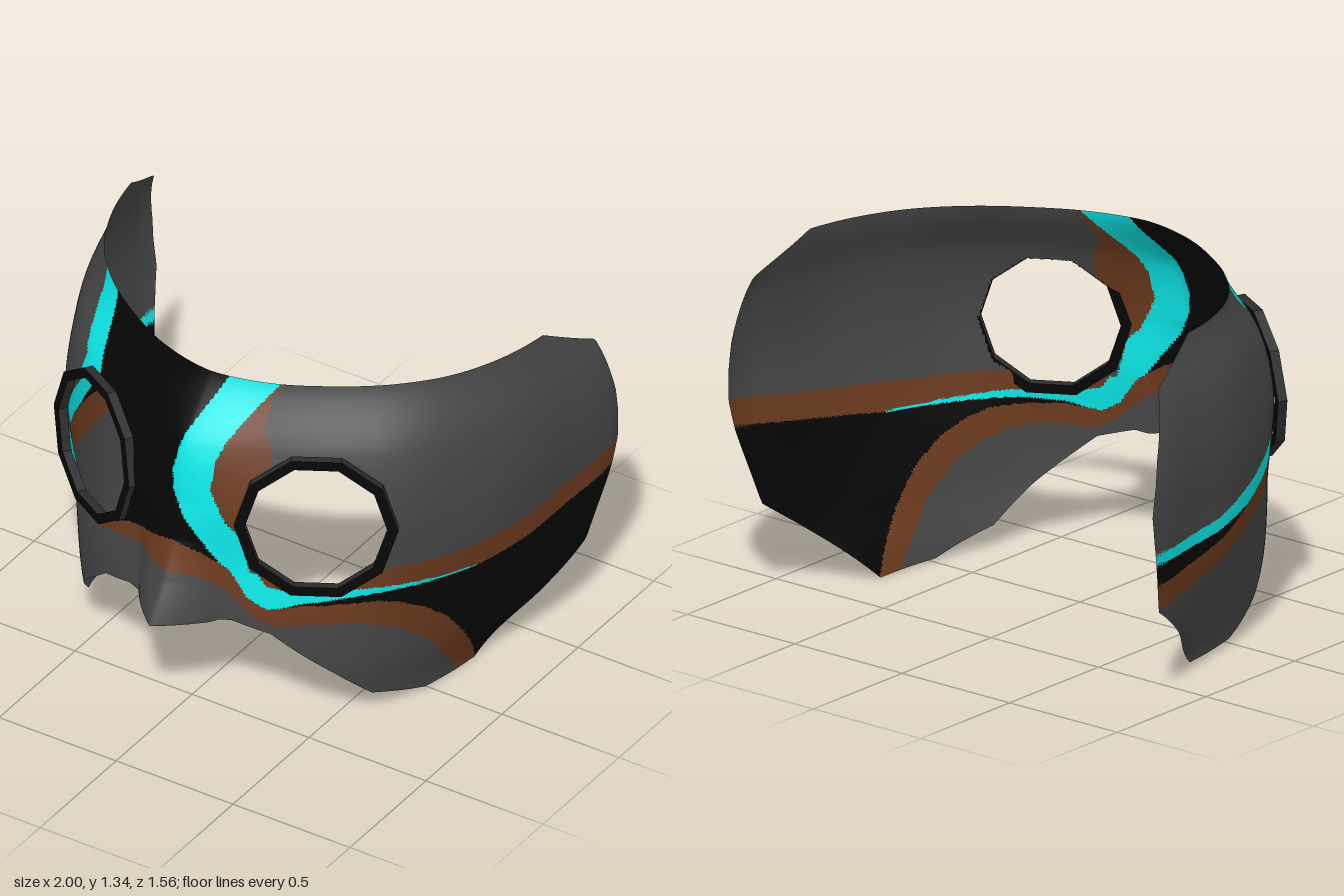
import * as THREE from 'three';

const mat = (name, color, side = THREE.DoubleSide) => {
  const m = new THREE.MeshStandardMaterial({ color, side });
  m.name = name;
  return m;
};
const RAD = Math.PI / 180;
const AXIS_Z = -0.5; // the shell is described in polar form around this vertical axis

// Shell radius: rows every 0.225 in height, columns every 15 degrees from the nose
const RADII = [
  [1.05, 1.03, 1.0, 0.905, 0.81, 0.75, 0.755, 0.83],
  [1.1, 1.085, 1.04, 0.955, 0.878, 0.845, 0.865, 0.92],
  [1.11, 1.09, 1.05, 0.98, 0.932, 0.918, 0.925, 0.97],
  [1.1, 1.065, 1.033, 1.005, 0.972, 0.953, 0.955, 1.015],
  [1.1, 1.053, 1.025, 1.018, 0.98, 0.97, 0.975, 1.03],
  [1.05, 0.985, 0.968, 0.97, 0.95, 0.945, 0.95, 1.0],
  [0.88, 0.86, 0.84, 0.845, 0.86, 0.87, 0.885, 0.92],
];

// Piecewise linear curve through [input, output] pairs
function line(pts) {
  return (v) => {
    if (v <= pts[0][0]) return pts[0][1];
    for (let i = 1; i < pts.length; i++) {
      const [a, p] = pts[i - 1], [b, q] = pts[i];
      if (v <= b) return p + ((q - p) * (v - a)) / (b - a);
    }
    return pts[pts.length - 1][1];
  };
}

// Smooth curve through evenly spaced values
function smooth(values, t) {
  const n = values.length - 1;
  const i = Math.max(0, Math.min(n - 1, Math.floor(t)));
  const f = t - i;
  const [a, b, c, d] = [-1, 0, 1, 2].map((k) => values[Math.max(0, Math.min(n, i + k))]);
  return b + 0.5 * f * (c - a + f * (2 * a - 5 * b + 4 * c - d + f * (3 * (b - c) + d - a)));
}

// Outline of the shell: height of the edges against the angle
const bottomEdge = line([[0, 0.46], [7.8, 0.44], [11.5, 0.45], [19, 0.41], [31, 0.23], [39, 0.09],
  [53, 0.01], [71, 0], [100.6, 0.35], [105, 0.65], [106, 0.75]]);
const topEdge = line([[0, 1.345], [87, 1.345], [102, 1.21], [105, 0.96], [106, 0.76]]);
const noseHeight = line([[0.46, 0.17], [0.6, 0.09], [0.75, 0.025], [0.9, 0]]);

function shellPoint(deg, y) {
  const a = Math.abs(deg);
  const r = smooth(RADII.map((row) => smooth(row, a / 15)), y / 0.225)
    + Math.max(0, 1 - a / 9) * noseHeight(y);
  return new THREE.Vector3(r * Math.sin(deg * RAD), y, AXIS_Z + r * Math.cos(deg * RAD));
}

// Colour borders of the left half
const L = {
  cheek: line([[0, 0.64], [6, 0.62], [10.6, 0.56], [16, 0.47], [20, 0.44], [27, 0.455], [36, 0.44],
    [44, 0.38], [50, 0.3], [56, 0.18], [63, 0.02], [65, -0.05]]),
  cheekBand: line([[0, 0.75], [6, 0.71], [10.6, 0.65], [14.3, 0.55], [18, 0.51], [25, 0.53], [33, 0.53],
    [40, 0.52], [45, 0.49], [51, 0.43], [57, 0.34], [63, 0.21], [69, 0.07], [72, -0.02]]),
  lineLow: line([[14, 0.55], [18, 0.505], [25, 0.54], [35, 0.555], [45, 0.555], [58, 0.55], [64, 0.553],
    [78, 0.58], [90, 0.61], [106, 0.655]]),
  lineHigh: line([[16, 0.65], [18, 0.6], [25, 0.58], [36, 0.585], [45, 0.573], [58, 0.56], [64, 0.553],
    [78, 0.58], [90, 0.61], [106, 0.655]]),
  templeBand: line([[25, 0.64], [40, 0.66], [58, 0.655], [78, 0.68], [106, 0.755]]),
  // crescent beside the eye: angle against height
  arcIn: line([[0.53, 14.5], [0.6, 11.5], [0.7, 7.8], [0.85, 1.6], [0.94, -0.9], [1.02, -1.6], [1.15, -0.6],
    [1.25, 2], [1.35, 5.2]]),
  arcMid: line([[0.6, 17], [0.65, 14.5], [0.8, 12.5], [0.85, 9.6], [0.97, 6.4], [1.08, 6.7], [1.15, 8.2],
    [1.22, 10.9], [1.28, 14], [1.35, 18]]),
  arcOut: line([[0.8, 15], [0.9, 16], [1.12, 18], [1.2, 15.3], [1.28, 16.2], [1.35, 18.6]]),
};

// Colour borders of the right half
const R = {
  cheek: line([[0, 0.64], [12, 0.63], [23, 0.57], [36, 0.575], [51, 0.55], [68, 0.46], [100, 0.36]]),
  cheekBand: line([[0, 0.75], [6, 0.72], [13, 0.69], [20, 0.62], [30, 0.585], [38, 0.6], [46, 0.67],
    [58, 0.63], [77, 0.53], [102, 0.46]]),
  lineLow: line([[25, 0.575], [30, 0.58], [38, 0.605], [46, 0.685], [56, 0.635], [65, 0.597], [80, 0.567],
    [104, 0.55]]),
  lineHigh: line([[25, 0.61], [30, 0.63], [38, 0.7], [46, 0.78], [56, 0.72], [65, 0.68], [80, 0.62],
    [104, 0.595]]),
  browIn: line([[1.12, 31], [1.22, 35], [1.35, 41]]),
  browOut: line([[1.12, 38.5], [1.22, 44], [1.35, 52]]),
};

const GREY = 0, BLACK = 1, BROWN = 2, CYAN = 3;

function shellColour(deg, y) {
  const a = Math.abs(deg);
  const h = deg >= 0 ? L : R;
  if (y < h.cheek(a)) return GREY;
  if (y < h.cheekBand(a)) return BROWN;
  if (deg >= L.arcIn(y)) {
    if (deg < L.arcMid(y)) return CYAN;
    if (y > 0.75 && deg < L.arcOut(y)) return BROWN;
    if (y < L.lineLow(a)) return BLACK;
    if (y < L.lineHigh(a)) return CYAN;
    return y < L.templeBand(a) ? BROWN : GREY;
  }
  if (deg >= 0) return BLACK;
  if (a >= 25 && y < R.lineLow(a)) return BLACK;
  if (a >= 25 && y < R.lineHigh(a)) return CYAN;
  if (a < R.browIn(y)) return BLACK;
  return a < R.browOut(y) ? CYAN : GREY;
}

// Distance from the centre of a decagon, measured to the radius of its corners
function decagonRadius(x, y) {
  const step = 36 * RAD;
  const turn = ((Math.atan2(y, x) + 2 * Math.PI) % step) - step / 2;
  return (Math.hypot(x, y) * Math.cos(turn)) / Math.cos(step / 2);
}

// Curved shell with two ten-sided eye openings, its faces sorted by colour
function buildShell(materials, eyes) {
  const COLS = 380, ROWS = 150, MAX = 106;
  const pos = [], grid = [];
  for (let i = 0; i <= COLS; i++) {
    const deg = -MAX + (2 * MAX * i) / COLS;
    const lo = bottomEdge(Math.abs(deg)), hi = topEdge(Math.abs(deg));
    for (let j = 0; j <= ROWS; j++) {
      const y = lo + ((hi - lo) * j) / ROWS;
      const p = shellPoint(deg, y);
      pos.push(p.x, p.y, p.z);
      grid.push({ deg, y, p });
    }
  }
  const inverse = eyes.map((e) => e.matrixWorld.clone().invert());
  const inEye = (p) => inverse.some((m) => {
    const q = p.clone().applyMatrix4(m);
    return Math.abs(q.z) < 0.25 && decagonRadius(q.x, q.y) < 0.261;
  });
  const faces = materials.map(() => []);
  const addFace = (...ids) => {
    const [a, b, c] = ids.map((k) => grid[k]);
    const mid = a.p.clone().add(b.p).add(c.p).divideScalar(3);
    if (inEye(mid)) return;
    faces[shellColour((a.deg + b.deg + c.deg) / 3, mid.y)].push(...ids);
  };
  for (let i = 0; i < COLS; i++) {
    for (let j = 0; j < ROWS; j++) {
      const a = i * (ROWS + 1) + j, b = a + ROWS + 1;
      addFace(a, b, b + 1);
      addFace(a, b + 1, a + 1);
    }
  }
  const geo = new THREE.BufferGeometry();
  geo.setAttribute('position', new THREE.Float32BufferAttribute(pos, 3));
  geo.setIndex(faces.flat());
  geo.computeVertexNormals();
  let start = 0;
  faces.forEach((f, k) => {
    geo.addGroup(start, f.length, k);
    start += f.length;
  });
  const mesh = new THREE.Mesh(geo, materials);
  mesh.name = 'maskShell';
  return mesh;
}

// Ten-sided eye ring lying on the shell
function buildRing(side, capMat, wallMat) {
  const decagon = (r) => Array.from({ length: 10 }, (_, k) =>
    new THREE.Vector2(r * Math.cos(k * 36 * RAD), r * Math.sin(k * 36 * RAD)));
  const shape = new THREE.Shape(decagon(0.295));
  shape.holes.push(new THREE.Path(decagon(0.257)));
  const geo = new THREE.ExtrudeGeometry(shape, { depth: 0.035, bevelEnabled: false });
  geo.translate(0, 0, -0.0175);
  const ring = new THREE.Mesh(geo, [capMat, wallMat]);
  ring.name = side > 0 ? 'leftEyeRing' : 'rightEyeRing';
  ring.position.set(side * 0.472, 0.856, 0.408);
  ring.rotation.set(-0.065, side * 0.52, 0, 'YXZ');
  ring.updateMatrixWorld(true);
  return ring;
}

export function createModel() {
  const grey = mat('grey', 0x464646);
  const black = mat('black', 0x060606);
  const brown = mat('brown', 0x6c3a1e);
  const cyan = mat('cyan', 0x0ce6e6);
  const charcoal = mat('charcoal', 0x2c2c2c, THREE.FrontSide);

  const group = new THREE.Group();
  group.name = 'mask';
  const rings = [1, -1].map((s) => buildRing(s, black, charcoal));
  group.add(buildShell([grey, black, brown, cyan], rings), ...rings);
  return group;
}
